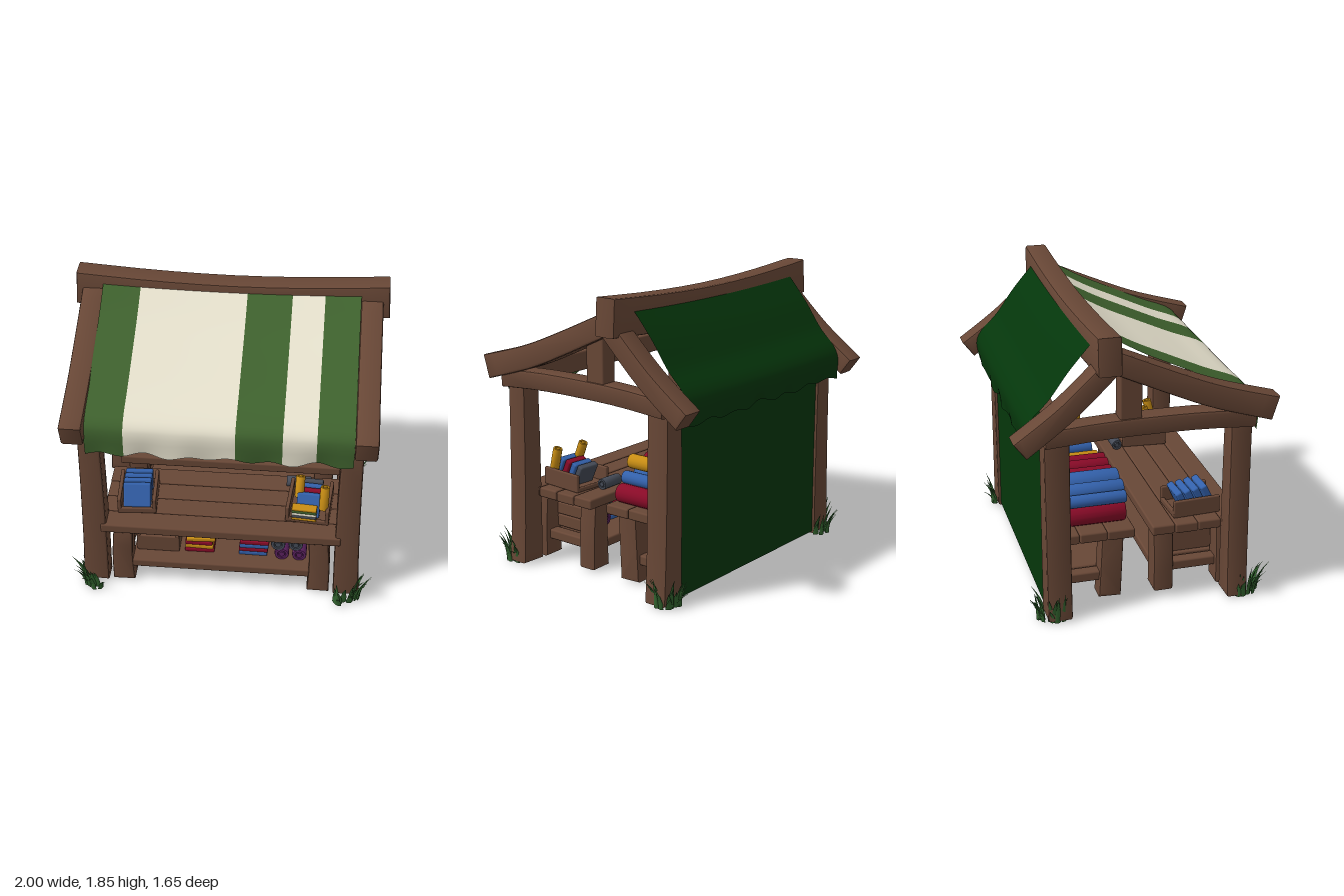
import * as THREE from 'three';
import { mergeGeometries, toCreasedNormals } from 'three/addons/utils/BufferGeometryUtils.js';
import { RoundedBoxGeometry } from 'three/addons/geometries/RoundedBoxGeometry.js';

const paint = (name, color, side = THREE.FrontSide) => {
  const m = new THREE.MeshStandardMaterial({ color, side });
  m.name = name;
  return m;
};

export function createModel() {
  const root = new THREE.Group();
  const wood = paint('wood', 0x684736);
  const green = paint('stripe green', 0x3f622e, THREE.DoubleSide);
  const cream = paint('cream', 0xe6e1cd, THREE.DoubleSide);
  const dark = paint('dark green', 0x05360b, THREE.DoubleSide);
  const red = paint('red', 0x8a0b28), yellow = paint('yellow', 0xc88d14);
  const blue = paint('blue', 0x3361ab), purple = paint('purple', 0x5e2362);
  const grey = paint('grey', 0x464c58), grass = paint('grass', 0x33652f);

  let seed = 7;
  const rnd = (a = 0, b = 1) => {
    seed = (seed * 16807) % 2147483647;
    return a + (b - a) * seed / 2147483647;
  };
  const add = (name, geo, mat, x = 0, y = 0, z = 0, parent = root) => {
    const m = new THREE.Mesh(geo, mat);
    m.name = name;
    m.position.set(x, y, z);
    parent.add(m);
    return m;
  };
  const box = (name, mat, w, h, d, x, y, z, parent = root, r = 0.012) =>
    add(name, new RoundedBoxGeometry(w, h, d, 2, Math.min(r, w / 3, h / 3, d / 3)), mat, x, y, z, parent);

  // Bevelled timber following a curve, tapering from t0 to t1 in thickness
  const timber = (pts, t0, t1, depth) => {
    const curve = new THREE.SplineCurve(pts.map(p => new THREE.Vector2(...p)));
    const a = [], b = [], n = 10, bevel = 0.014;
    for (let i = 0; i <= n; i++) {
      const p = curve.getPoint(i / n), t = curve.getTangent(i / n);
      const h = (t0 + (t1 - t0) * i / n) / 2;
      a.push(new THREE.Vector2(p.x - t.y * h, p.y + t.x * h));
      b.unshift(new THREE.Vector2(p.x + t.y * h, p.y - t.x * h));
    }
    const geo = new THREE.ExtrudeGeometry(new THREE.Shape([...a, ...b]), {
      depth: depth - 2 * bevel, bevelThickness: bevel, bevelSize: bevel, bevelOffset: -bevel, bevelSegments: 2
    });
    geo.translate(0, 0, -depth / 2 + bevel);
    return toCreasedNormals(geo, 0.7);
  };
  const sideTimber = (...args) => timber(...args).rotateY(-Math.PI / 2);

  // Frame: ridge, posts, rafters, tie beams
  add('ridgeBeam', timber([[-0.995, 1.735], [-0.5, 1.703], [0, 1.69], [0.5, 1.703], [0.995, 1.735]], 0.23, 0.23, 0.145), wood, 0, 0, -0.257);
  for (const s of [-1, 1]) {
    for (const [z, d] of [[0.597, 0.135], [-0.547, 0.155]]) {
      add('post', timber([[s * 0.825, 0.01], [s * 0.815, 0.3], [s * 0.808, 0.8], [s * 0.808, 1.22]], 0.17, 0.135, d), wood, 0, 0, z);
    }
    add('frontRafter', sideTimber([[0.78, 1.295], [0.42, 1.405], [0.12, 1.53], [-0.22, 1.685]], 0.155, 0.135, 0.14), wood, s * 0.885);
    add('backRafter', sideTimber([[-0.22, 1.665], [-0.5, 1.4], [-0.78, 1.19]], 0.12, 0.13, 0.14), wood, s * 0.885);
    add('tieBeam', sideTimber([[0.67, 1.235], [0.35, 1.257], [0.02, 1.262], [-0.3, 1.257], [-0.63, 1.235]], 0.115, 0.115, 0.13), wood, s * 0.87);
    box('kingPost', wood, 0.11, 0.4, 0.135, s * 0.87, 1.45, -0.112);
  }
  box('frontEaveBeam', wood, 1.6, 0.13, 0.11, 0, 1.25, 0.6);
  box('backEaveBeam', wood, 1.6, 0.11, 0.09, 0, 1.25, -0.53);

  // Cloth swept along a (z, y) profile between two x values, with a wavy hem
  const cloth = (name, mat, profile, x0, x1, wave = 0.012) => {
    const curve = new THREE.CatmullRomCurve3(profile.map(([z, y]) => new THREE.Vector3(0, y, z)));
    const geo = new THREE.PlaneGeometry(1, 1, Math.ceil((x1 - x0) / 0.025), 24);
    const pos = geo.attributes.position;
    for (let i = 0; i < pos.count; i++) {
      const x = x0 + (pos.getX(i) + 0.5) * (x1 - x0), v = 0.5 - pos.getY(i);
      const p = curve.getPoint(v);
      const hang = Math.pow(v, 12) * wave;
      const hem = hang * (Math.sin(x * 24) + 0.6 * Math.sin(x * 11 + 1));
      const sag = 0.02 * (1 - v) * (1 - (x / 0.82) ** 2);
      pos.setXYZ(i, x, p.y + hem - (wave ? sag : 0), p.z + 0.7 * hang * Math.sin(x * 18));
    }
    geo.computeVertexNormals();
    return add(name, geo, mat);
  };
  const awning = [[-0.2, 1.785], [0, 1.67], [0.2, 1.575], [0.45, 1.46], [0.67, 1.365], [0.718, 1.3], [0.718, 1.13]];
  const edges = [-0.82, -0.58, 0.1, 0.385, 0.59, 0.815];
  for (let i = 0; i < 5; i++) cloth('frontAwning', i % 2 ? cream : green, awning, edges[i], edges[i + 1]);

  // Back awning and rear wall, with cream bands on their inner faces
  const back = [[-0.29, 1.8], [-0.46, 1.6], [-0.58, 1.435], [-0.69, 1.32], [-0.722, 1.25], [-0.712, 1.12]];
  cloth('backAwning', dark, back, -0.815, 0.815);
  cloth('rearWall', dark, [[-0.605, 1.32], [-0.605, 0.7], [-0.605, 0.02]], -0.78, 0.78, 0);
  for (const [x0, x1] of [[-0.42, -0.045], [0.2, 0.53]]) {
    cloth('innerAwningBand', cream, back.slice(0, 4).map(([z, y]) => [z + 0.006, y - 0.022]), x0, x1, 0);
    cloth('rearWallBand', cream, [[-0.598, 1.32], [-0.598, 0.9], [-0.598, 0.5]], x0, x1, 0);
  }

  // Counters: planks, legs, stretchers and the low shelves
  const planks = (name, count, zStart, zEnd, y, h, w) => {
    const d = (zEnd - zStart) / count;
    for (let i = 0; i < count; i++) {
      box(name, wood, w - rnd(0, 0.01), h, d - 0.002, 0, y + rnd(-0.003, 0.003), zStart + d * (i + 0.5));
    }
  };
  planks('frontCounter', 4, 0.075, 0.675, 0.468, 0.065, 1.545);
  planks('backCounter', 3, -0.56, -0.03, 0.468, 0.065, 1.51);
  box('frontShelf', wood, 1.16, 0.06, 0.54, 0, 0.16, 0.38);
  box('backShelf', wood, 1.16, 0.06, 0.36, 0, 0.155, -0.33);
  for (const s of [-1, 1]) {
    for (const z of [0.17, 0.585]) {
      add('frontCounterLeg', timber([[s * 0.64, 0.01], [s * 0.643, 0.22], [s * 0.63, 0.44]], 0.145, 0.125, 0.13), wood, 0, 0, z);
    }
    add('backCounterLeg', sideTimber([[-0.18, 0.01], [-0.17, 0.22], [-0.16, 0.44]], 0.145, 0.14, 0.13), wood, s * 0.64);
    box('backCounterLeg', wood, 0.13, 0.43, 0.1, s * 0.64, 0.225, -0.52);
    box('frontStretcher', wood, 0.08, 0.065, 0.4, s * 0.64, 0.155, 0.38);
    box('backStretcher', wood, 0.08, 0.065, 0.35, s * 0.64, 0.155, -0.36);
  }
  // Two boards closing the end of the shelf
  for (const y of [0.233, 0.317]) box('shelfEndBoard', wood, 0.025, 0.08, 0.32, 0.59, y, 0.38);

  // Open crate made from boards; front is the height of its long sides
  const crate = (x, y, z, w, h, d, front, tilt = 0) => {
    const g = new THREE.Group();
    g.name = 'crate';
    g.position.set(x, y, z);
    g.rotation.y = tilt;
    box('crateFloor', wood, w, 0.02, d, 0, 0.01, 0, g);
    for (const s of [-1, 1]) {
      box('crateLongSide', wood, w, front, 0.022, 0, front / 2, s * (d / 2 - 0.011), g);
      box('crateEnd', wood, 0.025, h, d, s * (w / 2 - 0.012), h / 2, 0, g);
    }
    root.add(g);
    return g;
  };
  const leftCrate = crate(-0.56, 0.5, 0.385, 0.25, 0.115, 0.31, 0.04, 0.06);
  const rightCrate = crate(0.56, 0.5, 0.385, 0.28, 0.115, 0.31, 0.03, -0.08);
  crate(-0.42, 0.19, 0.4, 0.28, 0.14, 0.3, 0.125);

  // Cloth roll with ringed ends, lying along z
  const roll = (mat, x, y, z, r, len, parent = root) => {
    const h = len / 2;
    const end = [[0, h], [0.4, h], [0.46, h - 0.01], [0.54, h - 0.01], [0.6, h], [0.94, h], [1, h - 0.008]];
    const profile = [...end.map(([k, y]) => [k, -y]), ...end.reverse()].map(([k, y]) => new THREE.Vector2(k * r, y));
    const geo = toCreasedNormals(new THREE.LatheGeometry(profile, 16), 0.6).rotateX(Math.PI / 2);
    return add('clothRoll', geo, mat, x, y, z, parent);
  };
  // Rolls on the back counter: colour, x, y, radius
  [[purple, -0.38, 0.575, 0.06], [purple, -0.25, 0.58, 0.078], [yellow, -0.065, 0.585, 0.085], [red, 0.09, 0.575, 0.07],
    [purple, 0.27, 0.565, 0.065], [red, 0.375, 0.545, 0.042], [red, -0.61, 0.575, 0.075], [purple, -0.47, 0.56, 0.06],
    [red, -0.335, 0.705, 0.045], [red, -0.235, 0.71, 0.047], [red, -0.145, 0.705, 0.045], [yellow, -0.17, 0.64, 0.037],
    [purple, -0.34, 0.64, 0.04], [yellow, 0.03, 0.655, 0.035], [blue, -0.465, 0.712, 0.073], [blue, -0.585, 0.71, 0.055],
    [blue, -0.67, 0.69, 0.04], [blue, 0.19, 0.645, 0.045], [blue, 0.22, 0.715, 0.043], [yellow, 0.31, 0.64, 0.037],
    [purple, 0.39, 0.635, 0.042], [red, 0.395, 0.72, 0.045], [blue, 0.31, 0.71, 0.037], [red, 0.655, 0.56, 0.061],
    [red, 0.5, 0.56, 0.061], [blue, 0.61, 0.65, 0.042], [blue, 0.49, 0.65, 0.04], [yellow, 0.545, 0.738, 0.047]
  ].forEach(([mat, x, y, r]) => roll(mat, x, y, -0.27 + rnd(-0.004, 0.004), r, 0.395));
  // Rolls on the low shelf
  [[purple, 0.395, 0.235], [purple, 0.51, 0.235], [grey, 0.37, 0.315], [grey, 0.485, 0.32]]
    .forEach(([mat, x, y]) => roll(mat, x, y, 0.42, 0.047, 0.28));
  roll(grey, 0.48, 0.537, 0.17, 0.036, 0.16).rotation.y = Math.PI / 2;

  // Folded cloth stacks on the low shelf
  const stack = (x, colours) => colours.forEach((mat, i) => {
    box('foldedCloth', mat, 0.195 - rnd(0, 0.015), 0.031, 0.22, x + rnd(-0.006, 0.006), 0.205 + i * 0.03, 0.43, root, 0.009).rotation.y = rnd(-0.06, 0.06);
  });
  stack(-0.145, [red, yellow, red, yellow]);
  stack(0.21, [blue, red, blue, red]);

  // Leaning cloth bundles inside the counter crates
  const bundle = (parent, colours, w, h) => colours.forEach((mat, i) => {
    const m = box('leaningCloth', mat, w, h - i * 0.006, 0.045, 0, 0.103 - i * 0.005, 0.09 - i * 0.057, parent);
    m.rotation.x = -0.45;
  });
  bundle(leftCrate, [blue, blue, blue, blue], 0.18, 0.16);
  bundle(rightCrate, [blue, red, blue, grey], 0.15, 0.16);
  [yellow, grey, cream, green, yellow].forEach((mat, i) =>
    box('foldedCloth', mat, 0.16, 0.019, 0.06, -0.02, 0.035 + i * 0.019, 0.135, rightCrate));
  roll(yellow, 0.1, 0.17, 0.085, 0.03, 0.16, rightCrate).rotation.x = Math.PI / 2 - 0.25;
  roll(yellow, -0.065, 0.2, 0.03, 0.03, 0.14, rightCrate).rotation.x = Math.PI / 2 - 0.4;

  // Grass tufts fanning outward around the posts
  for (const sx of [-1, 1]) for (const sz of [-1, 1]) {
    const blades = [];
    for (let i = 0; i < 20; i++) {
      const h = rnd(0.09, 0.21), lean = rnd(0.02, 0.09), geo = new THREE.ConeGeometry(0.02, h, 4, 4);
      geo.translate(0, h / 2, 0);
      const pos = geo.attributes.position;
      for (let k = 0; k < pos.count; k++) {
        const t = pos.getY(k) / h, width = 1 + 1.2 * t * (1 - t);
        pos.setX(k, pos.getX(k) * 0.5 * width + lean * t ** 2);
        pos.setZ(k, pos.getZ(k) * width);
      }
      const out = Math.atan2(-sz, sx) + rnd(-1.5, 1.5);
      geo.rotateY(out);
      geo.translate(sx * 0.815 + Math.cos(out) * 0.075 + rnd(-0.02, 0.02), 0, sz * (sz > 0 ? 0.66 : 0.575) - Math.sin(out) * 0.08 + rnd(-0.02, 0.02));
      geo.computeVertexNormals();
      blades.push(geo);
    }
    add('grassTuft', mergeGeometries(blades), grass);
  }
  return root;
}
